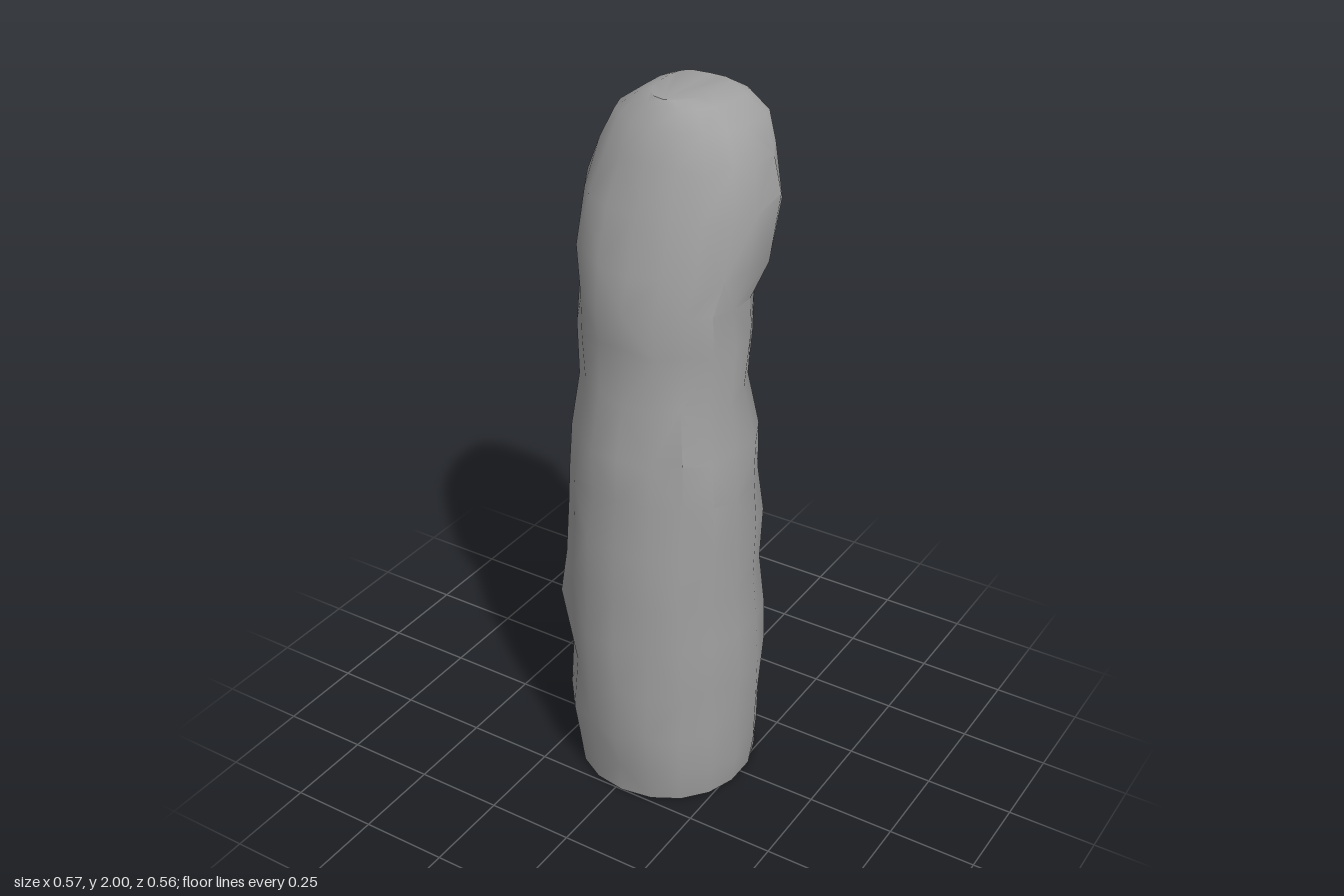
import * as THREE from 'three';
import { toCreasedNormals } from 'three/addons/utils/BufferGeometryUtils.js';

const SIDES = 18;

// Cross-sections: y, x min, x max, z front, z back, squareness of the back half
const SECTIONS = [
  [0.00, -0.23, 0.27, 0.25, -0.25, 2.1],
  [0.10, -0.24, 0.285, 0.27, -0.265, 2.1],
  [0.22, -0.25, 0.285, 0.28, -0.275, 2.1],
  [0.38, -0.24, 0.29, 0.285, -0.28, 2.1],
  [0.53, -0.255, 0.29, 0.28, -0.265, 2.1],
  [0.67, -0.25, 0.285, 0.28, -0.25, 2.1],
  [0.83, -0.245, 0.285, 0.275, -0.25, 2.1],
  [0.97, -0.235, 0.28, 0.26, -0.22, 2.1],
  [1.10, -0.225, 0.275, 0.26, -0.22, 2.1],
  [1.25, -0.205, 0.245, 0.225, -0.185, 2],
  [1.40, -0.22, 0.262, 0.22, -0.185, 1.9],
  [1.50, -0.212, 0.252, 0.22, -0.185, 2.2],
  [1.60, -0.235, 0.275, 0.195, -0.19, 3.2],
  [1.75, -0.235, 0.278, 0.16, -0.195, 4.5],
  [1.86, -0.205, 0.25, 0.115, -0.205, 4.5],
  [1.94, -0.165, 0.205, 0.08, -0.225, 4.5],
  [1.985, -0.10, 0.15, 0.045, -0.21, 4],
  [2.00, -0.06, 0.10, 0.03, -0.195, 4],
];

function seeded(seed) {
  return () => {
    seed = (seed * 16807) % 2147483647;
    return seed / 2147483647 - 0.5;
  };
}

// Lumpy loft through the cross-sections, closed at both ends
function loftGeometry() {
  const rand = seeded(41);
  const pos = [], index = [];
  SECTIONS.forEach(([y, x0, x1, zf, zb, square], r) => {
    const cx = (x0 + x1) / 2, rx = (x1 - x0) / 2;
    const cz = y > 1.55 ? (zf + zb) / 2 - 0.02 : (zf + zb) / 2;
    const inner = r > 0 && r < SECTIONS.length - 3;
    for (let i = 0; i < SIDES; i++) {
      const a = (i / SIDES) * Math.PI * 2;
      const s = Math.sin(a), c = Math.cos(a);
      const p = 2 / (c < 0 ? square : 2.1);
      const k = inner ? 0.985 + rand() * 0.05 : 1;
      let x = cx + Math.sign(s) * Math.abs(s) ** p * rx * k;
      const z = cz + Math.sign(c) * Math.abs(c) ** p * (c < 0 ? cz - zb : zf - cz) * k;
      // Pointed lump low on the right flank
      if (s < -0.85) x -= 0.035 * Math.max(0, 1 - Math.abs(y - 0.53) / 0.13);
      pos.push(x, y + (inner ? rand() * 0.03 : 0), z);
    }
  });
  const at = (r, i) => r * SIDES + (i % SIDES);
  for (let r = 0; r < SECTIONS.length - 1; r++) {
    for (let i = 0; i < SIDES; i++) {
      const a = at(r, i), b = at(r, i + 1), c = at(r + 1, i + 1), d = at(r + 1, i);
      // Alternate the diagonals for an irregular faceted surface
      if ((r + i) % 2) index.push(a, b, c, a, c, d);
      else index.push(a, b, d, b, c, d);
    }
  }
  // Base and crown
  const last = SECTIONS.length - 1;
  for (let i = 1; i < SIDES - 1; i++) {
    index.push(at(0, 0), at(0, i + 1), at(0, i));
    index.push(at(last, 0), at(last, i), at(last, i + 1));
  }
  const g = new THREE.BufferGeometry();
  g.setAttribute('position', new THREE.Float32BufferAttribute(pos, 3));
  g.setIndex(index);
  return toCreasedNormals(g, 0.6);
}

export function createModel() {
  const group = new THREE.Group();
  group.name = 'standingStone';
  const stone = new THREE.MeshStandardMaterial({ color: 0xa0a0a0 });
  stone.name = 'stone grey';
  const body = new THREE.Mesh(loftGeometry(), stone);
  body.name = 'stonePillar';
  group.add(body);
  return group;
}
